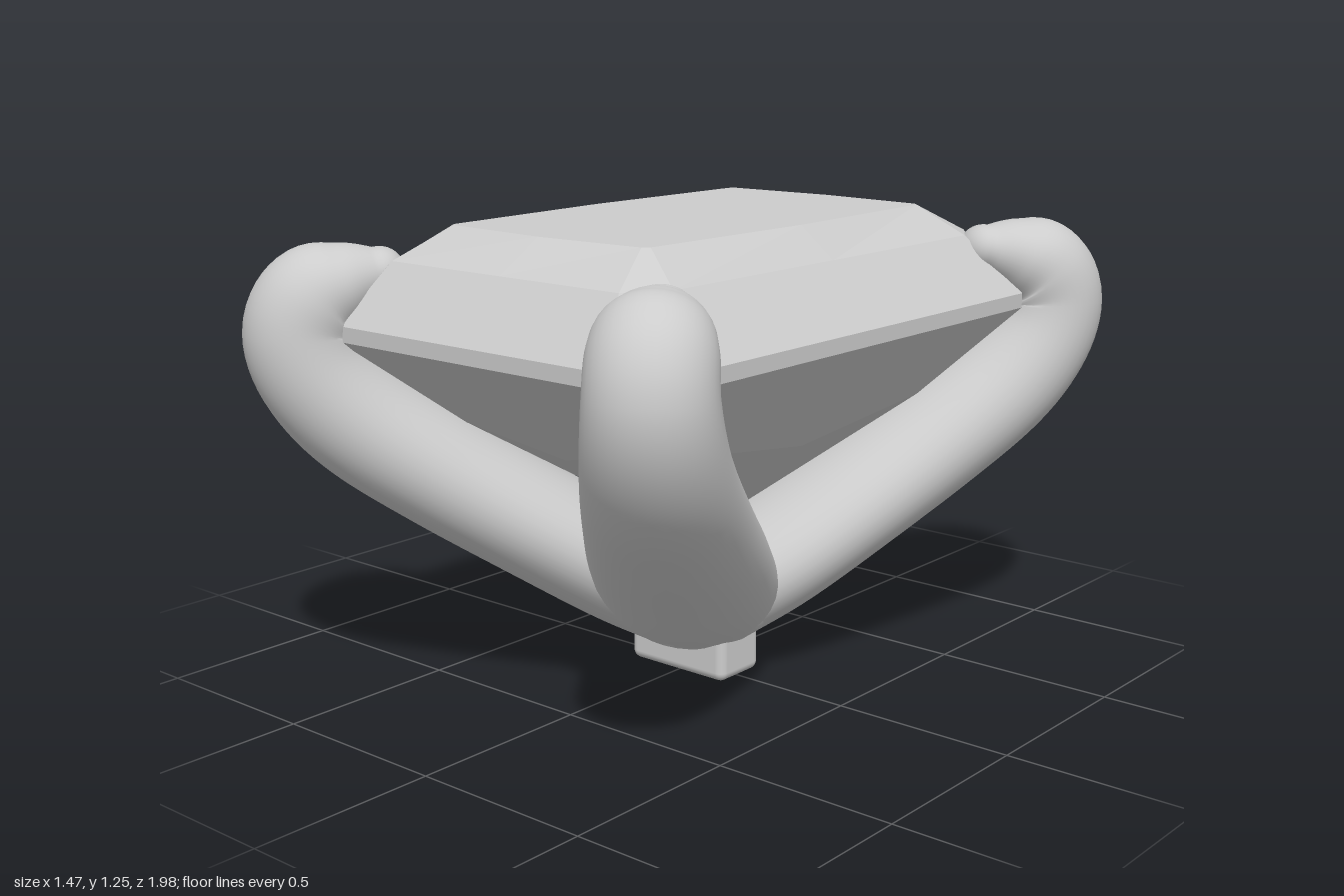
import * as THREE from 'three';
import { RoundedBoxGeometry } from 'three/addons/geometries/RoundedBoxGeometry.js';

// Twelve points round an octagon with a middle point on each side.
// Each spec is [x, y, z]: front middle, two corner points, side middle.
function gemRing([m, a, b, s]) {
  const at = ([x, y, z], sx, sz) => new THREE.Vector3(x * sx, y, z * sz);
  return [at(m, 1, 1), at(a, 1, 1), at(b, 1, 1), at(s, 1, 1), at(b, 1, -1), at(a, 1, -1),
    at(m, 1, -1), at(a, -1, -1), at(b, -1, -1), at(s, -1, 1), at(b, -1, 1), at(a, -1, 1)];
}

// Step-cut stone: faceted rings from the point below to the flat table.
function gemGeometry() {
  const girdle = y => [[0, y, 0.835], [0.45, y, 0.835], [0.59, y, 0.69], [0.59, y, 0]];
  const rings = [
    [[0, 0.68, 0.5], [0.28, 0.75, 0.575], [0.415, 0.75, 0.45], [0.36, 0.68, 0]],
    girdle(0.975),
    girdle(1.015),
    [[0, 1.17, 0.715], [0.38, 1.17, 0.715], [0.45, 1.17, 0.61], [0.45, 1.17, 0]],
    [[0, 1.25, 0.585], [0.315, 1.25, 0.565], [0.33, 1.25, 0.55], [0.35, 1.25, 0]],
  ].map(gemRing);
  const n = 12, tris = [];
  const point = new THREE.Vector3(0, 0.375, 0), middle = new THREE.Vector3(0, 1.25, 0);
  for (let i = 0; i < n; i++) {
    const j = (i + 1) % n;
    tris.push(point, rings[0][j], rings[0][i]);
    for (let k = 0; k < rings.length - 1; k++) {
      const lo = rings[k], hi = rings[k + 1];
      tris.push(lo[i], lo[j], hi[j], lo[i], hi[j], hi[i]);
    }
    tris.push(middle, rings[4][i], rings[4][j]);
  }
  const g = new THREE.BufferGeometry().setFromPoints(tris);
  g.computeVertexNormals();
  return g;
}

// Prong: an elliptical section swept up and outward, hooking in over the stone.
function prongGeometry() {
  // Each station: distance from the axis, height, half thickness, half width
  const stations = [
    [0.04, 0.21, 0.15, 0.22], [0.22, 0.31, 0.154, 0.24], [0.43, 0.44, 0.154, 0.232],
    [0.68, 0.6, 0.154, 0.205], [0.88, 0.745, 0.154, 0.18], [0.99, 0.87, 0.15, 0.162],
    [1.025, 0.985, 0.148, 0.15], [0.985, 1.07, 0.14, 0.145], [0.91, 1.108, 0.105, 0.125],
    [0.825, 1.13, 0.065, 0.08],
  ];
  const path = new THREE.CatmullRomCurve3(stations.map(s => new THREE.Vector3(s[0], s[1], 0)), false, 'catmullrom', 0.5);
  const size = new THREE.CatmullRomCurve3(stations.map(s => new THREE.Vector3(s[2], s[3], 0)), false, 'catmullrom', 0.5);
  const sections = [], steps = 60, sides = 36;
  for (let i = 0; i <= steps; i++) {
    const u = i / steps, p = path.getPoint(u), d = path.getTangent(u), s = size.getPoint(u);
    if (i === 0) sections.push({ p, d, t: 0, w: 0 });
    sections.push({ p, d, t: s.x, w: s.y });
  }
  // Rounded tip
  const end = sections[sections.length - 1];
  for (let k = 1; k <= 8; k++) {
    const a = k / 8 * Math.PI / 2;
    sections.push({
      p: end.p.clone().addScaledVector(end.d, Math.sin(a) * 0.065), d: end.d,
      t: end.t * Math.cos(a), w: end.w * Math.cos(a),
    });
  }
  const pos = [], index = [];
  sections.forEach(({ p, d, t, w }, i) => {
    for (let k = 0; k < sides; k++) {
      const a = k / sides * Math.PI * 2, c = t * Math.cos(a);
      pos.push(p.x - d.y * c, p.y + d.x * c, w * Math.sin(a));
      if (i < sections.length - 1) {
        const q = i * sides + k, r = i * sides + (k + 1) % sides;
        index.push(q, r, q + sides, r, r + sides, q + sides);
      }
    }
  });
  const g = new THREE.BufferGeometry();
  g.setAttribute('position', new THREE.Float32BufferAttribute(pos, 3));
  g.setIndex(index);
  g.computeVertexNormals();
  return g;
}

export function createModel() {
  const model = new THREE.Group();
  model.name = 'gemInProngSetting';
  const grey = new THREE.MeshStandardMaterial({ color: 0xcccccc });
  grey.name = 'light grey';
  const add = (name, geometry) => {
    const mesh = new THREE.Mesh(geometry, grey);
    mesh.name = name;
    model.add(mesh);
    return mesh;
  };

  add('gemstone', gemGeometry());

  // Four prongs, one toward each corner of the stone
  const prong = prongGeometry(), angle = Math.atan2(0.82, 0.57);
  const names = ['frontLeftProng', 'backLeftProng', 'backRightProng', 'frontRightProng'];
  [-angle, angle, Math.PI - angle, Math.PI + angle].forEach((a, i) => {
    add(names[i], prong).rotation.y = a;
  });

  // Rounded hub where the prongs meet
  const hub = add('hub', new THREE.SphereGeometry(1, 40, 24));
  hub.scale.set(0.25, 0.14, 0.22);
  hub.position.y = 0.215;

  // Small foot underneath
  const foot = add('foot', new RoundedBoxGeometry(0.33, 0.16, 0.165, 4, 0.025));
  foot.position.y = 0.08;

  return model;
}
